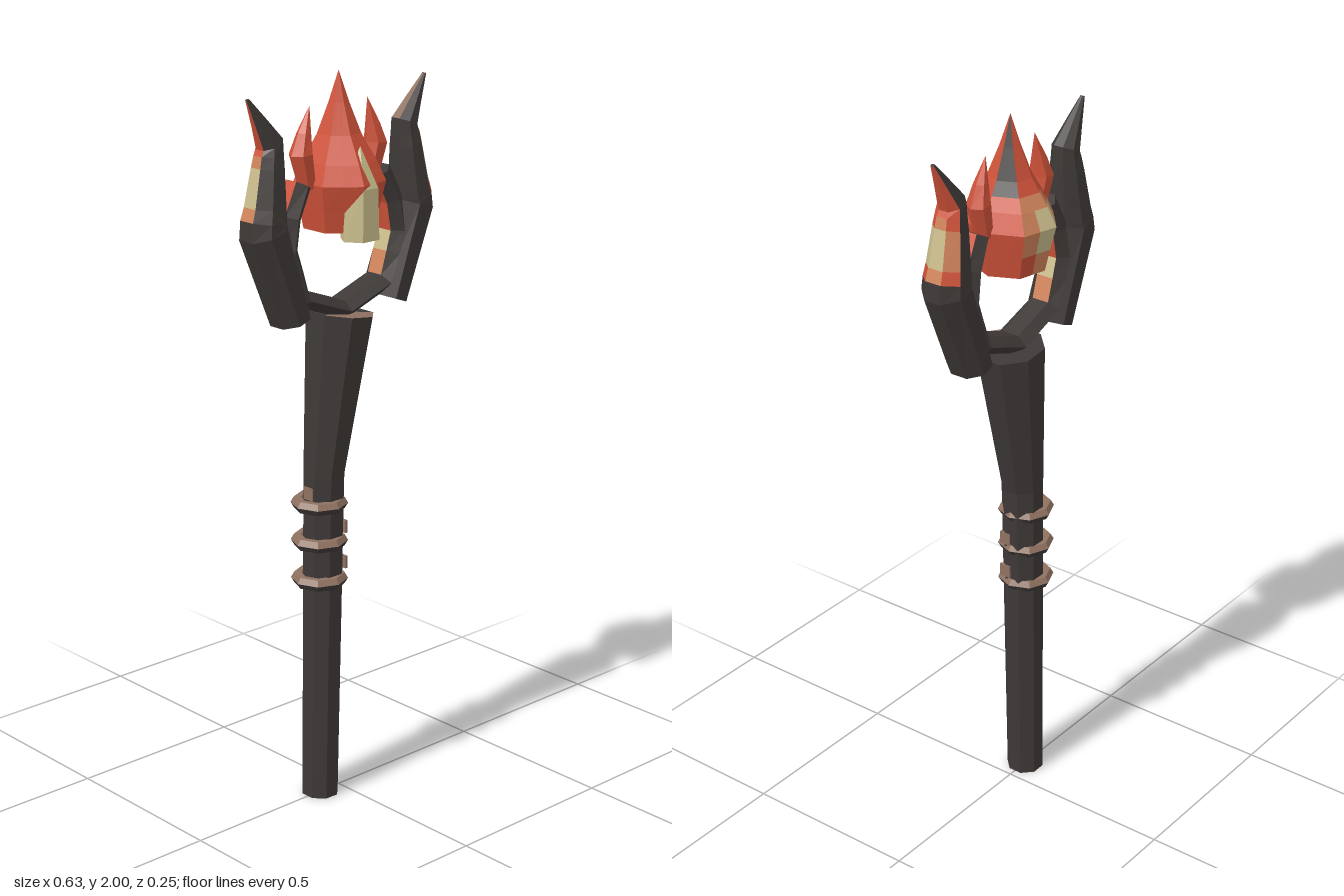
import * as THREE from 'three';

const mat = (name, color) => {
  const m = new THREE.MeshStandardMaterial({ color });
  m.name = name;
  return m;
};

export function createModel() {
  const CHAR = 0, RED = 1, ORANGE = 2, CREAM = 3, BROWN = 4;
  const mats = [
    mat('charredWood', 0x3e3937),
    mat('emberRed', 0xcf5239),
    mat('emberOrange', 0xd0845a),
    mat('emberCream', 0xcabd8c),
    mat('bindingBrown', 0x8f7160),
  ];
  const root = new THREE.Group();

  // Faceted tube along a path in the xy plane. Each station is [x, y, r, rz].
  // pick(band, angle) gives the colour of a facet; band -1 and n are the caps.
  // With split, every facet is halved lengthwise so its halves can differ in colour.
  function loft(name, stations, corners, phase, pick, split = false) {
    const n = stations.length - 1, sides = split ? corners * 2 : corners;
    const rings = stations.map(([x, y, r, rz = r], k) => {
      const a = stations[Math.max(k - 1, 0)], b = stations[Math.min(k + 1, n)];
      const t = new THREE.Vector2(b[0] - a[0], b[1] - a[1]).normalize();
      return Array.from({ length: sides }, (_, i) => {
        const w = phase + (i / sides) * Math.PI * 2;
        const flat = split && i % 2 ? Math.cos(Math.PI / corners) : 1;
        const c = Math.cos(w) * r * flat;
        return new THREE.Vector3(x + t.y * c, y - t.x * c, -Math.sin(w) * rz * flat);
      });
    });
    const ends = [stations[0], stations[n]].map(([x, y]) => new THREE.Vector3(x, y, 0));
    const buckets = mats.map(() => []);
    const tri = (m, ...p) => p.forEach((v) => buckets[m].push(v.x, v.y, v.z));
    for (let i = 0; i < sides; i++) {
      const j = (i + 1) % sides, mid = phase + ((i + 0.5) / sides) * Math.PI * 2;
      for (let k = 0; k < n; k++) {
        const m = pick(k, mid), lo = rings[k], hi = rings[k + 1];
        tri(m, lo[i], lo[j], hi[j]);
        if (stations[k + 1][2] > 0) tri(m, lo[i], hi[j], hi[i]);
      }
      tri(pick(-1, mid), ends[0], rings[0][j], rings[0][i]);
      if (stations[n][2] > 0) tri(pick(n, mid), ends[1], rings[n][i], rings[n][j]);
    }
    const geo = new THREE.BufferGeometry();
    let start = 0;
    buckets.forEach((b, m) => {
      if (b.length) geo.addGroup(start, b.length / 3, m);
      start += b.length / 3;
    });
    geo.setAttribute('position', new THREE.Float32BufferAttribute(buckets.flat(), 3));
    geo.computeVertexNormals();
    const mesh = new THREE.Mesh(geo, mats);
    mesh.name = name;
    root.add(mesh);
    return mesh;
  }

  // Shaft, bent and flared toward the top
  loft('shaft', [[-0.07, 0, 0.052], [-0.053, 0.93, 0.058], [0.004, 1.366, 0.095]],
    8, Math.PI / 8, (k, a) => (k === 2 && Math.sin(a) < -0.5 ? BROWN : CHAR));

  // Binding rings, dark underneath, and the strap ends beside them
  for (const y of [0.638, 0.747, 0.853]) {
    const geo = new THREE.TorusGeometry(0.059, 0.018, 6, 8).rotateX(Math.PI / 2).toNonIndexed();
    geo.computeVertexNormals();
    geo.addGroup(0, 144, 0);
    geo.addGroup(144, 144, 1);
    const ring = new THREE.Mesh(geo, [mats[CHAR], mats[BROWN]]);
    ring.name = 'bindingRing';
    ring.position.set(-0.07, y, 0);
    root.add(ring);
  }
  for (const [x, y, z] of [[-0.005, 0.675, 0.02], [-0.005, 0.777, 0.02], [-0.106, 0.885, 0]]) {
    const strap = new THREE.Mesh(new THREE.BoxGeometry(0.008, 0.035, 0.034), mats[BROWN]);
    strap.name = 'strapEnd';
    strap.position.set(x, y, z);
    root.add(strap);
  }

  // Cradle: open hoop glowing on its inner face and on the outside of its tips
  const half = [[0.138, 1.725, 0.031, 0.038], [0.178, 1.645, 0.032, 0.045],
    [0.192, 1.56, 0.032, 0.048], [0.172, 1.5, 0.03, 0.05], [0.143, 1.428, 0.028, 0.05]];
  const left = half.map(([x, ...rest]) => [-x, ...rest]);
  const innerGlow = [RED, RED, CREAM, ORANGE, CHAR, CHAR, ORANGE, CREAM, RED, RED];
  const outerGlow = { 0: RED, 1: CREAM, 8: CREAM, 9: RED };
  loft('cradle', [...left, [0, 1.376, 0.028, 0.052], ...half.reverse()], 6, Math.PI / 6,
    (k, a) => {
      if (k < 0 || k > 9 || Math.abs(Math.cos(a)) < 0.9) return CHAR;
      return Math.cos(a) < 0 ? innerGlow[k] : outerGlow[k] ?? CHAR;
    });

  // Outer horns and small side flames, mirrored
  const hornCentre = [CHAR, CHAR, ORANGE, CREAM, ORANGE, RED, RED, RED];
  const hornEdge = [CHAR, CHAR, RED, ORANGE, RED, RED, RED, RED];
  for (const s of [1, -1]) {
    const side = (pts) => pts.map(([x, ...rest]) => [s * x, ...rest]);
    loft('outerHorn', side([
      [0.17, 1.378, 0.052, 0.065], [0.258, 1.62, 0.065, 0.067], [0.255, 1.645, 0.062, 0.064],
      [0.25, 1.68, 0.056, 0.059], [0.24, 1.78, 0.044, 0.047], [0.237, 1.81, 0.04, 0.042],
      [0.234, 1.84, 0.037, 0.038], [0.27, 1.9, 0.02, 0.022], [0.305, 1.958, 0.005, 0.006],
    ]), 8, Math.PI / 8, (k, a) => {
      const out = Math.cos(a) * s, toBack = Math.sin(a) > 0;
      if (k < 2 || k > 7) return CHAR;
      if (k >= 6 && s > 0 && out < -0.9) return BROWN;
      if (out < 0.6 || (s < 0 && out < 0.9 && !toBack)) return CHAR;
      if (out > 0.9) return hornCentre[k];
      return k === 3 && !toBack ? CREAM : hornEdge[k];
    });
    loft('sideFlame', side([
      [0.108, 1.71, 0.024], [0.13, 1.8, 0.032], [0.119, 1.85, 0.02], [0.1, 1.92, 0],
    ]), 6, 0, () => RED);
  }

  // Central flame: seven-sided bud with a pale glow at the back and a charred upper facet
  const backGlow = [ORANGE, CREAM, CREAM, ORANGE, RED, RED, RED];
  loft('centralFlame', [
    [0, 1.595, 0.094, 0.096], [0, 1.655, 0.1055, 0.1104], [0, 1.72, 0.118, 0.128],
    [0, 1.77, 0.096, 0.103], [0, 1.805, 0.0765, 0.0815], [0, 1.84, 0.057, 0.06],
    [0, 1.92, 0.027, 0.027], [0, 2, 0],
  ], 7, 0, (k, a) => {
    const f = Math.floor(a / (Math.PI / 7));
    if (k < 0) return RED;
    if (f < 2 && k >= 4) return CHAR;
    if (f === 3 || f === 4) return backGlow[k];
    if (f === 2 && k > 0 && k < 4) return ORANGE;
    if (f === 5 && (k === 1 || k === 2)) return ORANGE;
    return RED;
  }, true);

  // Pale shard at the front, charred on its left flank
  loft('frontShard', [[0, 1.575, 0.057, 0.049], [0, 1.71, 0.051, 0.047], [0, 1.815, 0]],
    6, 0, (k, a) => {
      if (k < 0) return ORANGE;
      return k < 1 && Math.cos(a) > 0.3 ? CHAR : CREAM;
    }).position.z = 0.081;

  return root;
}
